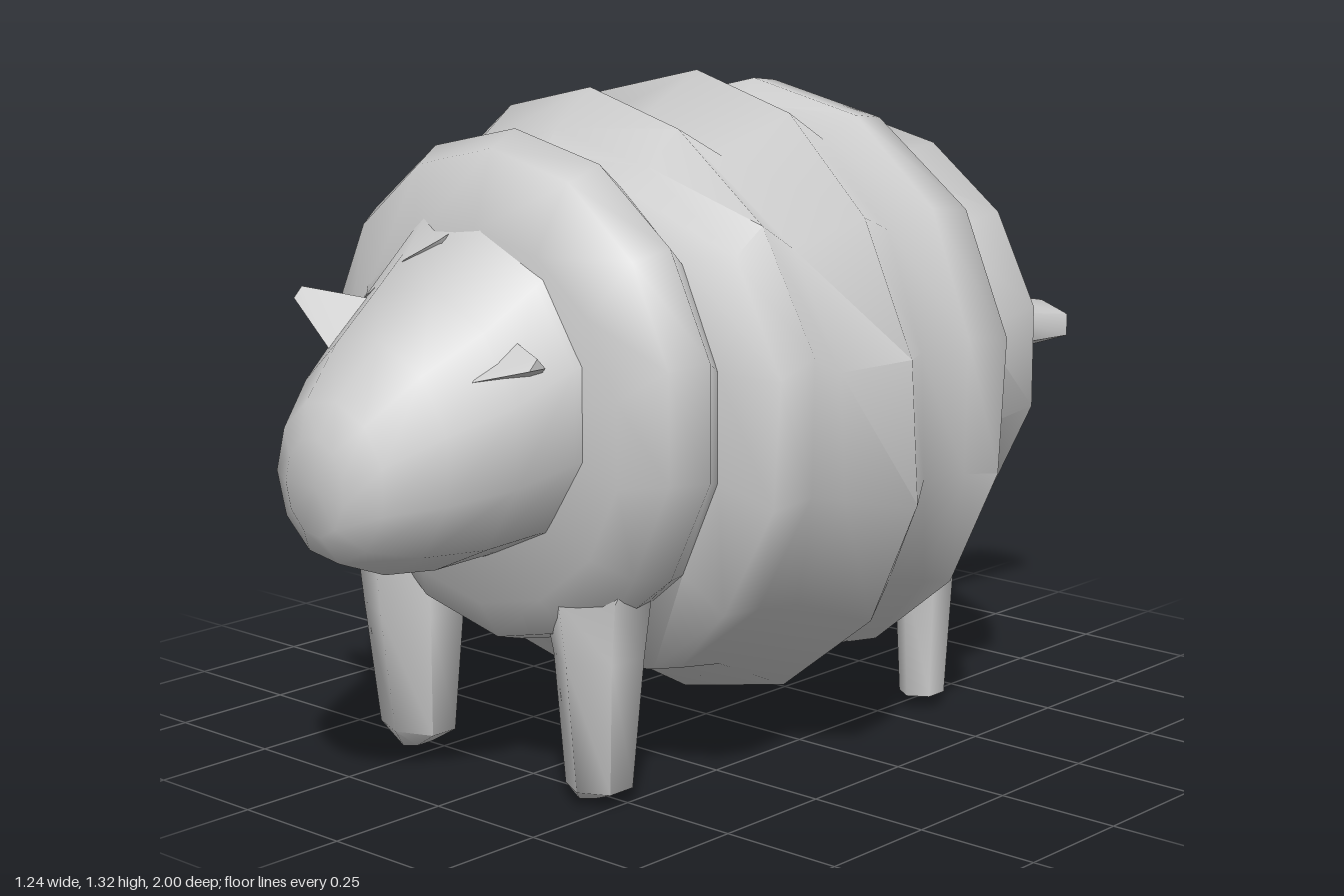
import * as THREE from 'three';
import { toCreasedNormals } from 'three/addons/utils/BufferGeometryUtils.js';

// Skin a list of equal-length rings of [x, y, z] points, closing both ends with a fan.
function loft(rings, crease) {
  const n = rings[0].length, pos = [], index = [];
  rings.forEach(r => r.forEach(p => pos.push(...p)));
  for (let i = 0; i < rings.length - 1; i++) {
    for (let j = 0; j < n; j++) {
      const a = i * n + j, b = i * n + (j + 1) % n;
      index.push(a, b, a + n, b, b + n, a + n);
    }
  }
  [0, rings.length - 1].forEach((i, end) => {
    const c = pos.length / 3;
    pos.push(...[0, 1, 2].map(k => rings[i].reduce((s, p) => s + p[k], 0) / n));
    for (let j = 0; j < n; j++) {
      const a = i * n + j, b = i * n + (j + 1) % n;
      index.push(c, ...(end ? [a, b] : [b, a]));
    }
  });
  // Turn the faces outward if the enclosed volume is negative
  const v = k => new THREE.Vector3().fromArray(pos, index[k] * 3);
  let volume = 0;
  for (let k = 0; k < index.length; k += 3) volume += v(k).dot(v(k + 1).cross(v(k + 2)));
  if (volume < 0) index.reverse();
  const g = new THREE.BufferGeometry();
  g.setAttribute('position', new THREE.Float32BufferAttribute(pos, 3));
  g.setIndex(index);
  return toCreasedNormals(g, crease);
}

// Upright ring facing z, from its left, right, bottom and top limits.
// tilt brings its +x side forward, wobble makes it wavy.
function ringZ([z, x0, x1, y0, y1, tilt = 0], sides, wobble = 0, phase = 0) {
  return Array.from({ length: sides }, (_, j) => {
    const a = (j + 0.5) / sides * Math.PI * 2;
    return [
      (x0 + x1) / 2 + (x1 - x0) / 2 * Math.cos(a) * 1.03,
      (y0 + y1) / 2 + (y1 - y0) / 2 * Math.sin(a) * 1.01,
      z + tilt * Math.cos(a) + wobble * Math.sin(3 * a + phase),
    ];
  });
}

// Level ring for the legs
function ringY([y, x0, x1, z0, z1], sides) {
  return Array.from({ length: sides }, (_, j) => {
    const a = (j + 0.5) / sides * Math.PI * 2;
    return [(x0 + x1) / 2 + (x1 - x0) / 2 * Math.cos(a) * 1.12, y,
      (z0 + z1) / 2 + (z1 - z0) / 2 * Math.sin(a) * 1.1];
  });
}

export function createModel() {
  const model = new THREE.Group();
  const grey = new THREE.MeshStandardMaterial({ color: 0xcccccc });
  grey.name = 'grey';
  const add = (name, geometry) => {
    const mesh = new THREE.Mesh(geometry, grey);
    mesh.name = name;
    model.add(mesh);
  };

  // Woolly body: alternating ridges and grooves, [z, x0, x1, y0, y1, tilt]
  const wool = [
    [0.63, -0.36, 0.35, 0.37, 1.07],
    [0.57, -0.46, 0.42, 0.29, 1.21],
    [0.50, -0.51, 0.455, 0.27, 1.24],
    [0.43, -0.45, 0.41, 0.27, 1.19],
    [0.37, -0.59, 0.52, 0.18, 1.23, 0.03],
    [0.29, -0.62, 0.555, 0.17, 1.30, 0.06],
    [0.17, -0.56, 0.52, 0.15, 1.235, 0.05],
    [0.04, -0.62, 0.61, 0.08, 1.315, 0.07],
    [-0.06, -0.49, 0.53, 0.15, 1.245, 0.03],
    [-0.13, -0.53, 0.56, 0.12, 1.29],
    [-0.22, -0.575, 0.58, 0.11, 1.28, 0.01],
    [-0.28, -0.43, 0.47, 0.27, 1.175, 0.02],
    [-0.42, -0.44, 0.51, 0.31, 1.20, 0.02],
    [-0.51, -0.39, 0.43, 0.36, 1.06],
    [-0.63, -0.25, 0.25, 0.45, 0.93],
    [-0.71, -0.06, 0.16, 0.58, 0.80],
  ];
  add('body', loft(wool.map((w, i) =>
    ringZ(w, 14, i > 3 && i < 12 ? 0.018 : 0, i * 0.9)), 1.35));

  // Head: broad neck, sloping brow, blunt muzzle
  add('head', loft([
    [0.57, -0.40, 0.33, 0.46, 1.14],
    [0.64, -0.33, 0.26, 0.46, 1.06],
    [0.76, -0.28, 0.235, 0.46, 0.98],
    [0.87, -0.23, 0.17, 0.47, 0.90],
    [0.96, -0.18, 0.10, 0.505, 0.80],
    [1.00, -0.11, 0.04, 0.56, 0.74],
  ].map(r => ringZ(r, 11)), 1.3));

  // Ears: small pointed wedges lying back along the head
  const ear = ([x, y, z], [u, v, w]) => loft([
    [[x, y + 0.05, z - 0.04], [x, y - 0.03, z + 0.08], [x, y - 0.06, z - 0.11]],
    [[u, v, w], [u, v - 0.02, w + 0.02], [u, v - 0.02, w - 0.02]],
  ], 0.8);
  add('earRight', ear([-0.19, 0.88, 0.74], [-0.325, 0.95, 0.77]));
  add('earLeft', ear([0.14, 0.86, 0.74], [0.255, 0.88, 0.73]));

  // Low forelock fold on the brow
  add('forelock', loft([
    [[-0.24, 1.00, 0.60], [-0.23, 0.93, 0.70], [-0.22, 0.9, 0.60]],
    [[-0.16, 1.09, 0.60], [-0.13, 1.01, 0.69], [-0.14, 0.95, 0.60]],
    [[-0.07, 1.07, 0.60], [-0.07, 1.05, 0.655], [-0.08, 0.98, 0.60]],
  ], 1.3));

  // Legs, [y, x0, x1, z0, z1] from hip to hoof
  const legs = {
    frontLegRight: [[0.72, -0.47, -0.25, 0.44, 0.56], [0.45, -0.44, -0.21, 0.42, 0.60],
      [0.28, -0.42, -0.22, 0.43, 0.59], [0.04, -0.375, -0.22, 0.47, 0.58], [0, -0.33, -0.29, 0.48, 0.55]],
    frontLegLeft: [[0.60, 0.08, 0.37, 0.44, 0.56], [0.40, 0.08, 0.28, 0.42, 0.60],
      [0.28, 0.11, 0.265, 0.43, 0.59], [0.03, 0.14, 0.26, 0.47, 0.58], [0.005, 0.15, 0.20, 0.48, 0.55]],
    backLegRight: [[0.50, -0.33, -0.13, -0.47, -0.33], [0.28, -0.28, -0.15, -0.475, -0.38],
      [0.045, -0.245, -0.155, -0.47, -0.41]],
    backLegLeft: [[0.55, 0.20, 0.38, -0.46, -0.28], [0.30, 0.235, 0.34, -0.41, -0.29],
      [0.03, 0.25, 0.33, -0.39, -0.30]],
  };
  for (const [name, rows] of Object.entries(legs)) add(name, loft(rows.map(r => ringY(r, 6)), 1.2));

  // Tail: short tapering stub
  add('tail', loft([
    [-0.62, -0.03, 0.18, 0.62, 0.82],
    [-0.72, -0.01, 0.17, 0.64, 0.80],
    [-1.0, 0.03, 0.185, 0.65, 0.745],
  ].map(r => ringZ(r, 6)), 1.2));

  return model;
}
